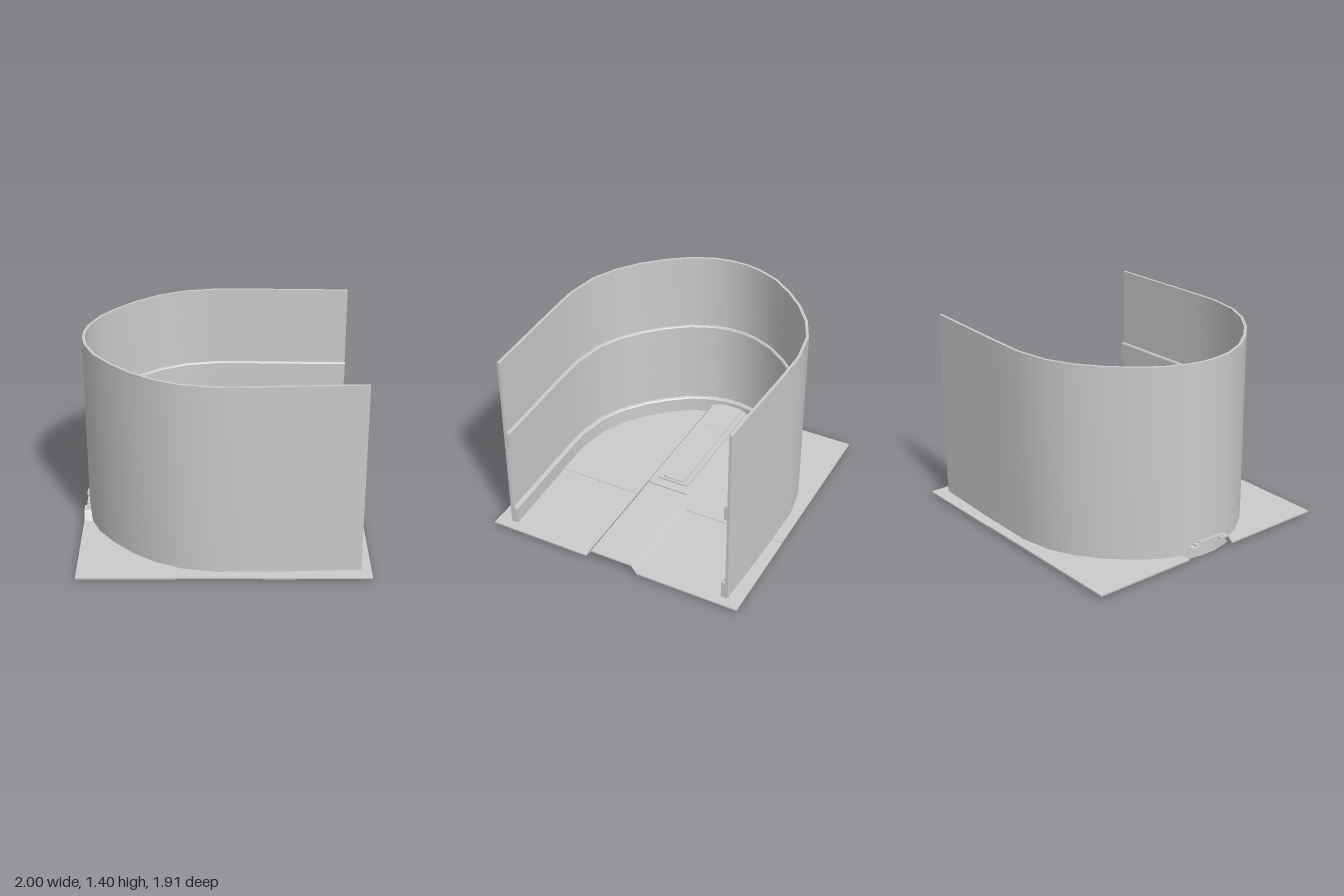
import * as THREE from 'three';
import { toCreasedNormals } from 'three/addons/utils/BufferGeometryUtils.js';

const material = new THREE.MeshStandardMaterial({ color: 0xcccccc, side: THREE.DoubleSide });

// Half of the U-shaped plan of the wall's outer face, from the open end to the middle (x, z)
const half = [
  [0.93, -0.855], [0.2, -0.88], [-0.05, -0.883], [-0.29, -0.84], [-0.47, -0.755],
  [-0.63, -0.635], [-0.76, -0.5], [-0.875, -0.345], [-0.945, -0.18], [-0.968, -0.06],
];
const path = [...half, ...half.map(([x, z]) => [x, -z]).reverse()];

// Inward normal of the path at each point
const normals = path.map((p, i) => {
  if (i === 0) return [0, 1];
  if (i === path.length - 1) return [0, -1];
  const dir = (a, b) => new THREE.Vector2(b[0] - a[0], b[1] - a[1]).normalize();
  const d1 = dir(path[i - 1], p), d2 = dir(p, path[i + 1]);
  const t = d1.clone().add(d2).normalize();
  const scale = 1 / t.dot(d1);
  return [t.y * scale, -t.x * scale];
});

function addMesh(parent, name, geometry) {
  const mesh = new THREE.Mesh(geometry, material);
  mesh.name = name;
  parent.add(mesh);
  return mesh;
}

// Sweep a convex profile of (inward offset, height) along the U path
function sweep(profile) {
  const positions = [];
  const point = (i, j) => {
    const [d, y] = profile[j % profile.length];
    return [path[i][0] + normals[i][0] * d, y, path[i][1] + normals[i][1] * d];
  };
  const tri = (a, b, c) => positions.push(...a, ...b, ...c);
  const n = profile.length, last = path.length - 1;
  for (let i = 0; i < last; i++) {
    for (let j = 0; j < n; j++) {
      const a = point(i, j), b = point(i, j + 1), c = point(i + 1, j + 1), d = point(i + 1, j);
      tri(a, b, c);
      tri(a, c, d);
    }
  }
  for (let j = 1; j < n - 1; j++) {
    tri(point(0, 0), point(0, j + 1), point(0, j));
    tri(point(last, 0), point(last, j), point(last, j + 1));
  }
  const geometry = new THREE.BufferGeometry();
  geometry.setAttribute('position', new THREE.Float32BufferAttribute(positions, 3));
  return toCreasedNormals(geometry, 0.5);
}

// Extrude a (z, y) outline along x
function extrudeX(points, x0, x1) {
  const shape = new THREE.Shape(points.map(([z, y]) => new THREE.Vector2(-z, y)));
  return new THREE.ExtrudeGeometry(shape, { depth: x1 - x0, bevelEnabled: false })
    .rotateY(Math.PI / 2).translate(x0, 0, 0);
}

// Thin sheet outline: flat floor with a trapezoid tunnel
function sheet(base, top, thick) {
  const upper = [[-0.955, base], [-0.2, base], [-0.158, top], [0.158, top], [0.2, base], [0.955, base]];
  return [...upper, ...upper.map(([z, y]) => [z, y - thick]).reverse()];
}

// Slide one end of a sheet so that its edge steps back over the tunnel
function stepEdge(geometry, edge, base, top, thick) {
  const pos = geometry.attributes.position;
  for (let i = 0; i < pos.count; i++) {
    if (Math.abs(pos.getX(i) - edge) > 1e-4) continue;
    const raised = Math.abs(pos.getZ(i)) < 0.17 && pos.getY(i) > (base + top - thick) / 2;
    pos.setX(i, raised ? 0.17 : 0.26);
  }
  geometry.computeVertexNormals();
  return geometry;
}

// Flat plate with rounded front corners, lying on the tunnel
function plate(x0, x1, halfWidth, y, height, radius) {
  const s = new THREE.Shape();
  s.moveTo(x0, -halfWidth);
  s.lineTo(x1 - radius, -halfWidth);
  s.quadraticCurveTo(x1, -halfWidth, x1, -halfWidth + radius);
  s.lineTo(x1, halfWidth - radius);
  s.quadraticCurveTo(x1, halfWidth, x1 - radius, halfWidth);
  s.lineTo(x0, halfWidth);
  return new THREE.ExtrudeGeometry(s, { depth: height, bevelEnabled: false, curveSegments: 6 })
    .rotateX(-Math.PI / 2).translate(0, y, 0);
}

export function createModel() {
  const model = new THREE.Group();
  model.name = 'curvedEnclosure';

  // Curved wall with two inner rails
  addMesh(model, 'curvedWall', sweep([[0, 0], [0.02, 0], [0.02, 1.4], [0, 1.4]]));
  addMesh(model, 'middleRail', sweep([[0.02, 0.71], [0.041, 0.71], [0.041, 0.81], [0.035, 0.82], [0.02, 0.82]]));
  addMesh(model, 'lowerRail', sweep([[0.02, 0.012], [0.05, 0.012], [0.05, 0.145], [0.042, 0.155], [0.02, 0.155]]));

  // Floor sheets meeting at a stepped seam
  const floor = new THREE.Group();
  floor.name = 'floor';
  model.add(floor);
  addMesh(floor, 'frontFloor', stepEdge(extrudeX(sheet(0.028, 0.087, 0.01), 0.26, 1), 0.26, 0.028, 0.087, 0.01));
  addMesh(floor, 'rearFloorEdge', stepEdge(extrudeX(sheet(0.033, 0.098, 0.012), 0.08, 0.26), 0.26, 0.033, 0.098, 0.012));

  // Rear floor halves, leaving a slot along the tunnel top
  for (const side of [-1, 1]) {
    const upper = [[0.087, 0.098], [0.158, 0.098], [0.2, 0.033], [0.955, 0.033]];
    let outline = [...upper, ...upper.map(([z, y]) => [z, y - 0.012]).reverse()];
    outline = outline.map(([z, y]) => [z * side, y]);
    addMesh(floor, side > 0 ? 'rearFloorLeft' : 'rearFloorRight', extrudeX(outline, -1, 0.08));
  }

  // Raised cover over the slot
  addMesh(model, 'tunnelCover', plate(-0.985, 0.1, 0.127, 0.098, 0.011, 0.05));
  addMesh(model, 'coverPanel', plate(-0.985, 0.08, 0.087, 0.109, 0.008, 0.03));

  // Wedge block hanging below the cover
  const wedge = new THREE.Shape([[-0.69, 0.055], [-0.61, 0.085], [-0.61, 0.119], [-0.69, 0.119]]
    .map(([x, y]) => new THREE.Vector2(x, y)));
  addMesh(model, 'wedgeBlock', new THREE.ExtrudeGeometry(wedge, { depth: 0.18, bevelEnabled: false })
    .translate(0, 0, -0.09));

  return model;
}
